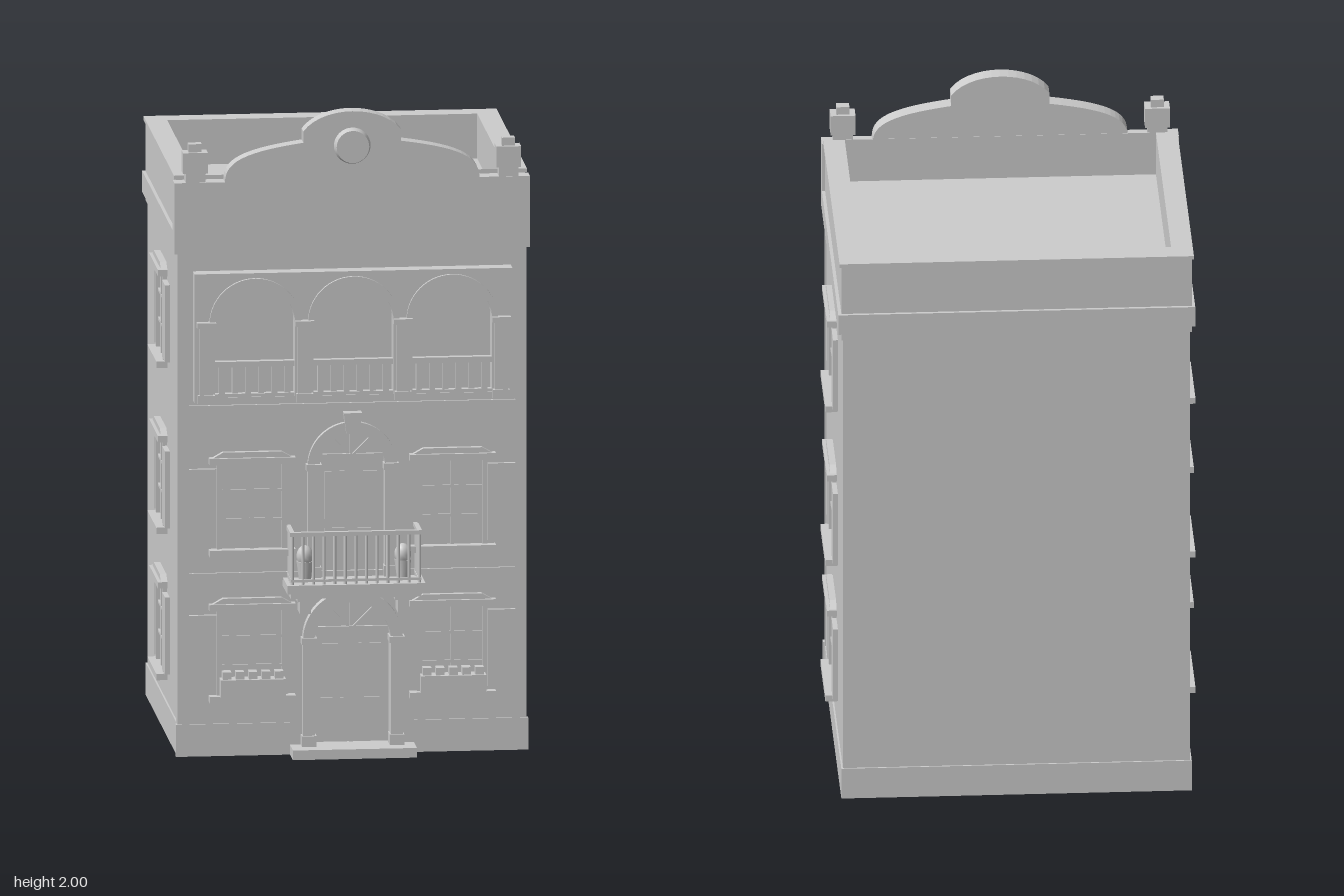
import * as THREE from 'three';

export function createModel() {
  const model = new THREE.Group();
  const stone = new THREE.MeshStandardMaterial({ color: 0xcccccc });
  stone.name = 'stone';

  const add = (name, geo, parent = model) => {
    const m = new THREE.Mesh(geo, stone);
    m.name = name;
    parent.add(m);
    return m;
  };
  // Box given by its limits on each axis
  const box = (name, x0, x1, y0, y1, z0, z1, parent) =>
    add(name, new THREE.BoxGeometry(x1 - x0, y1 - y0, z1 - z0)
      .translate((x0 + x1) / 2, (y0 + y1) / 2, (z0 + z1) / 2), parent);
  const slab = (name, shape, z0, z1, parent) =>
    add(name, new THREE.ExtrudeGeometry(shape, { depth: z1 - z0, bevelEnabled: false, curveSegments: 14 })
      .translate(0, 0, z0), parent);
  const poly = (pts) => new THREE.Shape(pts.map(p => new THREE.Vector2(...p)));
  const group = (name) => {
    const g = new THREE.Group();
    g.name = name;
    model.add(g);
    return g;
  };
  // Round-headed outline standing on y0, springing at ys
  const archPath = (cx, r, y0, ys, Type = THREE.Shape) => {
    const p = new Type();
    p.moveTo(cx - r, y0);
    p.lineTo(cx + r, y0);
    p.lineTo(cx + r, ys);
    p.absarc(cx, ys, r, 0, Math.PI, false);
    p.lineTo(cx - r, y0);
    return p;
  };
  const archBand = (name, cx, ys, rIn, rOut, z0, z1, parent) => {
    const s = new THREE.Shape();
    s.absarc(cx, ys, rOut, 0, Math.PI, false);
    s.lineTo(cx - rIn, ys);
    s.absarc(cx, ys, rIn, Math.PI, 0, true);
    return slab(name, s, z0, z1, parent);
  };

  // Main block, plinth and front wall with two door openings
  box('body', -0.53, 0.53, 0, 1.66, -0.525, 0.36);
  box('plinth', -0.535, 0.535, 0, 0.1, -0.53, 0.36);
  const wall = poly([[-0.535, 0], [0.535, 0], [0.535, 1.57], [-0.535, 1.57]]);
  wall.holes.push(archPath(0, 0.116, 0.03, 0.36, THREE.Path), archPath(0, 0.1, 0.56, 0.9, THREE.Path));
  slab('frontWall', wall, 0.36, 0.402);
  for (const s of [-1, 1]) {
    const [a, b] = s < 0 ? [-0.54, -0.19] : [0.19, 0.54];
    box('frontPlinth', a, b, 0, 0.1, 0.39, 0.407);
  }
  for (const [y0, y1] of [[0.545, 0.57], [1.07, 1.092]])
    box('stringCourse', -0.5, 0.5, y0, y1, 0.4, 0.41);

  // Ring running around the roof
  const ring = (name, x, zBack, y0, y1) => {
    const s = poly([[-x, -0.36], [x, -0.36], [x, -zBack], [-x, -zBack]]);
    s.holes.push(poly([[-0.475, -0.359], [0.475, -0.359], [0.475, 0.47], [-0.475, 0.47]]));
    add(name, new THREE.ExtrudeGeometry(s, { depth: y1 - y0, bevelEnabled: false })
      .rotateX(-Math.PI / 2).translate(0, y0, 0));
  };
  ring('lowerMoulding', 0.535, -0.53, 1.54, 1.568);
  ring('cornice', 0.545, -0.543, 1.565, 1.63);
  ring('parapet', 0.535, -0.533, 1.63, 1.788);
  ring('parapetCap', 0.541, -0.54, 1.788, 1.8);

  // Curved gable with roundel
  const g = new THREE.Shape();
  g.moveTo(-0.545, 1.565);
  g.lineTo(0.545, 1.565);
  g.lineTo(0.545, 1.787);
  g.lineTo(0.39, 1.787);
  g.bezierCurveTo(0.39, 1.85, 0.33, 1.88, 0.15, 1.905);
  g.lineTo(0.15, 1.94);
  g.bezierCurveTo(0.09, 2.02, -0.09, 2.02, -0.15, 1.94);
  g.lineTo(-0.15, 1.905);
  g.bezierCurveTo(-0.33, 1.88, -0.39, 1.85, -0.39, 1.787);
  g.lineTo(-0.545, 1.787);
  slab('gable', g, 0.36, 0.412);
  add('roundel', new THREE.CylinderGeometry(0.05, 0.057, 0.025, 32).rotateX(Math.PI / 2).translate(0, 1.893, 0.422));
  for (const s of [-1, 1]) {
    const f = group('finial');
    f.position.x = s * 0.48;
    box('finialNeck', -0.03, 0.03, 1.785, 1.82, 0.362, 0.41, f);
    box('finialBlock', -0.038, 0.038, 1.815, 1.88, 0.36, 0.412, f);
    box('finialTop', -0.02, 0.02, 1.88, 1.905, 0.37, 0.4, f);
  }

  // Window facing +z with its sill at y = 0; shutters listed by side
  const makeWindow = (shutters) => {
    const w = group('window');
    box('sill', -0.132, 0.132, -0.01, 0.01, 0, 0.035, w);
    box('lintel', -0.132, 0.132, 0.275, 0.295, 0, 0.03, w);
    slab('hood', poly([[-0.12, 0.295], [0.12, 0.295], [0.09, 0.312], [-0.09, 0.312]]), 0, 0.02, w);
    for (const s of [-1, 1]) box('jamb', s * 0.1 - 0.008, s * 0.1 + 0.008, 0.01, 0.275, 0, 0.012, w);
    box('mullion', -0.006, 0.006, 0.01, 0.275, 0, 0.008, w);
    for (const y of [0.1, 0.19]) box('glazingBar', -0.1, 0.1, y - 0.004, y + 0.004, 0, 0.007, w);
    for (const s of shutters) box('shutter', s * 0.151 - 0.042, s * 0.151 + 0.042, 0.02, 0.26, 0, 0.015, w);
    return w;
  };
  for (const s of [-1, 1]) {
    for (const y of [0.18, 0.635, 1.152]) {
      const w = makeWindow([-1, 1]);
      w.position.set(s * 0.53, y, -0.06);
      w.rotation.y = s * Math.PI / 2;
    }
    for (const y of [0.18, 0.635]) makeWindow([s]).position.set(s * 0.307, y, 0.4);

    // Flower box with a row of plants
    const x = s * 0.307;
    box('flowerBox', x - 0.1, x + 0.1, 0.19, 0.245, 0.4, 0.455);
    for (let i = 0; i < 5; i++) {
      const c = x - 0.08 + i * 0.04;
      box('plants', c - 0.013, c + 0.013, 0.245, 0.268, 0.412, 0.445);
    }
  }

  // Double doors, surrounds and entrance step
  const makeDoor = (name, r, rOut, y0, ys, z1) => {
    const d = group(name);
    slab('doorPanel', archPath(0, r + 0.004, y0, ys), 0.355, 0.37, d);
    box('transom', -r, r, ys + 0.01, ys + 0.03, 0.365, 0.38, d);
    box('meetingStile', -0.006, 0.006, y0, ys + 0.01, 0.365, 0.377, d);
    for (const a of [Math.PI / 4, Math.PI / 2, 3 * Math.PI / 4]) {
      const bar = add('fanlightBar', new THREE.BoxGeometry(r * 0.8, 0.007, 0.008).translate(r * 0.5, 0, 0), d);
      bar.position.set(0, ys + 0.02, 0.373);
      bar.rotation.z = a;
    }
    for (const s of [-1, 1]) {
      const c = s * r / 2, m = s * (r + rOut) / 2, h = (rOut - r) / 2, H = ys - y0;
      for (const [p, q] of [[0.08, 0.42], [0.5, 0.93]])
        box('raisedPanel', c - r * 0.3, c + r * 0.3, y0 + H * p, y0 + H * q, 0.366, 0.375, d);
      box('pilaster', m - h, m + h, y0, ys, 0.39, z1, d);
      box('capital', m - h - 0.005, m + h + 0.005, ys - 0.012, ys + 0.008, 0.39, z1 + 0.01, d);
      box('pilasterBase', m - h - 0.004, m + h + 0.004, y0, y0 + 0.035, 0.39, z1 + 0.008, d);
    }
    archBand('archMoulding', 0, ys, r, rOut, 0.39, z1, d);
  };
  makeDoor('entrance', 0.116, 0.153, 0.028, 0.36, 0.435);
  makeDoor('balconyDoor', 0.1, 0.137, 0.55, 0.897, 0.42);
  slab('keystone', poly([[-0.02, 1.0], [0.02, 1.0], [0.028, 1.065], [-0.028, 1.065]]), 0.39, 0.437);
  box('step', -0.19, 0.19, 0, 0.03, 0.36, 0.492);

  // Balcony with railing, brackets and plant pots
  const balcony = group('balcony');
  box('balconyFloor', -0.212, 0.212, 0.525, 0.552, 0.4, 0.536, balcony);
  box('balconyUnderside', -0.2, 0.2, 0.508, 0.525, 0.4, 0.525, balcony);
  const baluster = (x, z) => add('baluster',
    new THREE.CylinderGeometry(0.005, 0.005, 0.155, 8).translate(x, 0.628, z), balcony);
  box('frontHandrail', -0.202, 0.202, 0.702, 0.715, 0.512, 0.527, balcony);
  box('frontBottomRail', -0.2, 0.2, 0.56, 0.568, 0.515, 0.525, balcony);
  for (let i = 0; i <= 12; i++) baluster(-0.195 + i * 0.0325, 0.52);
  for (const s of [-1, 1]) {
    const x = s * 0.195;
    box('sideHandrail', x - 0.007, x + 0.007, 0.702, 0.715, 0.4, 0.512, balcony);
    box('sideBottomRail', x - 0.005, x + 0.005, 0.56, 0.568, 0.4, 0.52, balcony);
    for (const z of [0.425, 0.457, 0.489]) baluster(x, z);
    const b = s * 0.15;
    box('bracket', b - 0.017, b + 0.017, 0.45, 0.51, 0.4, 0.475, balcony);
    box('bracketTop', b - 0.026, b + 0.026, 0.49, 0.51, 0.4, 0.485, balcony);
    add('pot', new THREE.CylinderGeometry(0.026, 0.018, 0.06, 14).translate(b, 0.582, 0.457), balcony);
    add('potPlant', new THREE.SphereGeometry(0.026, 12, 8).scale(1, 1.3, 1).translate(b, 0.628, 0.457), balcony);
  }

  // Three-arched loggia
  const loggia = group('loggia');
  const face = poly([[-0.487, 1.108], [0.487, 1.108], [0.487, 1.51], [-0.487, 1.51]]);
  for (const cx of [-0.302, 0, 0.302]) {
    face.holes.push(archPath(cx, 0.122, 1.125, 1.355, THREE.Path));
    archBand('archivolt', cx, 1.355, 0.122, 0.14, 0.445, 0.46, loggia);
    box('balustradeRail', cx - 0.122, cx + 0.122, 1.218, 1.235, 0.425, 0.447, loggia);
    box('balustradeFoot', cx - 0.122, cx + 0.122, 1.12, 1.135, 0.425, 0.447, loggia);
    for (let i = 0; i < 6; i++) {
      const x = cx - 0.1 + i * 0.04;
      box('balustradePost', x - 0.009, x + 0.009, 1.135, 1.218, 0.428, 0.444, loggia);
    }
  }
  slab('loggiaFace', face, 0.4, 0.45, loggia);
  for (const x of [-0.452, -0.151, 0.151, 0.452]) {
    box('column', x - 0.02, x + 0.02, 1.108, 1.345, 0.44, 0.465, loggia);
    box('columnCapital', x - 0.029, x + 0.029, 1.345, 1.362, 0.44, 0.475, loggia);
    box('columnBase', x - 0.026, x + 0.026, 1.108, 1.135, 0.44, 0.47, loggia);
  }
  return model;
}
